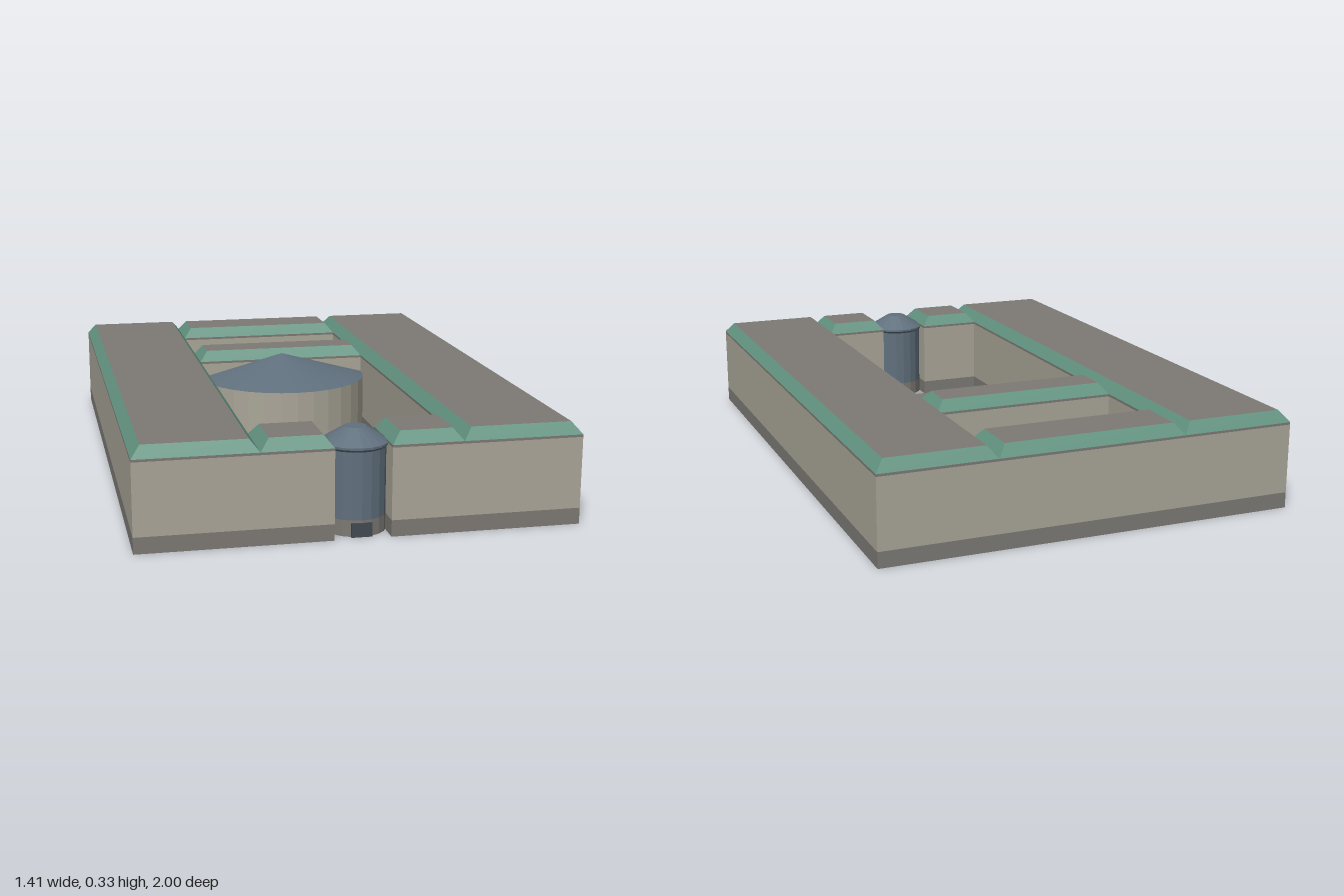
import * as THREE from 'three';

const mat = (name, color) => {
  const m = new THREE.MeshStandardMaterial({ color, side: THREE.DoubleSide });
  m.name = name;
  return m;
};

export function createModel() {
  const stone = mat('grey stone', 0x7d7a75);
  const wall = mat('tan wall', 0xaaa698);
  const green = mat('green roof edge', 0x629280);
  const blue = mat('slate blue', 0x60707d);
  const dark = mat('dark door', 0x434c52);

  const model = new THREE.Group();
  model.name = 'courtyardBuilding';

  const add = (parent, name, geo, material, x = 0, y = 0, z = 0) => {
    const flat = geo.index ? geo.toNonIndexed() : geo;
    flat.computeVertexNormals();
    const mesh = new THREE.Mesh(flat, material);
    mesh.name = name;
    mesh.position.set(x, y, z);
    parent.add(mesh);
    return mesh;
  };

  // Four-sided band from one rectangle to another, shrunk by inset
  const band = (w, d, y0, y1, inset = 0) => {
    const ring = (y, s) => [[-1, 1], [1, 1], [1, -1], [-1, -1]]
      .map(([sx, sz]) => [sx * (w / 2 - s), y, sz * (d / 2 - s)]);
    const a = ring(y0, 0), b = ring(y1, inset), p = [];
    for (let i = 0; i < 4; i++) {
      const j = (i + 1) % 4;
      p.push(...a[i], ...a[j], ...b[j], ...a[i], ...b[j], ...b[i]);
    }
    const g = new THREE.BufferGeometry();
    g.setAttribute('position', new THREE.Float32BufferAttribute(p, 3));
    return g;
  };

  const plate = (w, d) => new THREE.PlaneGeometry(w, d).rotateX(-Math.PI / 2);

  // Open-bottomed block with plinth, wall, trim, sloped edge and flat roof
  const block = (name, x0, x1, z0, z1) => {
    const g = new THREE.Group();
    g.name = name;
    g.position.set((x0 + x1) / 2, 0, (z0 + z1) / 2);
    const w = x1 - x0, d = z1 - z0, inset = 0.03;
    add(g, 'plinth', band(w, d, 0, 0.053), stone);
    add(g, 'walls', band(w, d, 0.053, 0.285), wall);
    add(g, 'trim', band(w, d, 0.285, 0.293), stone);
    add(g, 'roofEdge', band(w, d, 0.293, 0.33, inset), green);
    add(g, 'roof', plate(w - inset * 2, d - inset * 2), stone, 0, 0.33);
    model.add(g);
  };

  // Long wings and short front blocks
  block('leftWing', 0.318, 0.705, -1, 1);
  block('rightWing', -0.705, -0.318, -1, 1);
  block('leftFrontBlock', 0.09, 0.318, 0.775, 1);
  block('rightFrontBlock', -0.318, -0.09, 0.775, 1);

  // Cross wings
  block('backWing', -0.318, 0.318, -1, -0.78);
  block('middleWing', -0.318, 0.318, -0.475, -0.3);

  // Courtyard paving
  add(model, 'courtyardFloor', plate(0.636, 0.755), stone, 0, 0.002, 0.3975);

  // Half-round hall with a shallow half-cone roof
  const hall = new THREE.Group();
  hall.name = 'halfRoundHall';
  hall.position.z = -0.3;
  const half = (r0, r1, h) =>
    new THREE.CylinderGeometry(r1, r0, h, 16, 1, true, -Math.PI / 2, Math.PI);
  add(hall, 'hallWall', half(0.318, 0.318, 0.23), wall, 0, 0.115);
  add(hall, 'hallRoof', half(0.318, 0, 0.085), blue, 0, 0.2725);
  model.add(hall);

  // Round entrance tower
  const tower = new THREE.Group();
  tower.name = 'entranceTower';
  tower.position.z = 0.883;
  const tube = (r0, r1, y0, y1) =>
    new THREE.CylinderGeometry(r1, r0, y1 - y0, 20, 1, true).translate(0, (y0 + y1) / 2, 0);
  add(tower, 'towerPlinth', tube(0.1, 0.1, 0, 0.053), stone);
  add(tower, 'towerWall', tube(0.1, 0.1, 0.053, 0.27), blue);
  add(tower, 'towerEave', tube(0.1, 0.108, 0.27, 0.278), blue);
  add(tower, 'towerRim', tube(0.108, 0.108, 0.278, 0.285), blue);
  add(tower, 'towerRoof', tube(0.108, 0.035, 0.285, 0.33), blue);
  add(tower, 'towerCap', new THREE.CircleGeometry(0.035, 20).rotateX(-Math.PI / 2), blue, 0, 0.33);
  add(tower, 'door', new THREE.BoxGeometry(0.066, 0.045, 0.009), dark, 0, 0.0225, 0.099);
  model.add(tower);

  return model;
}
